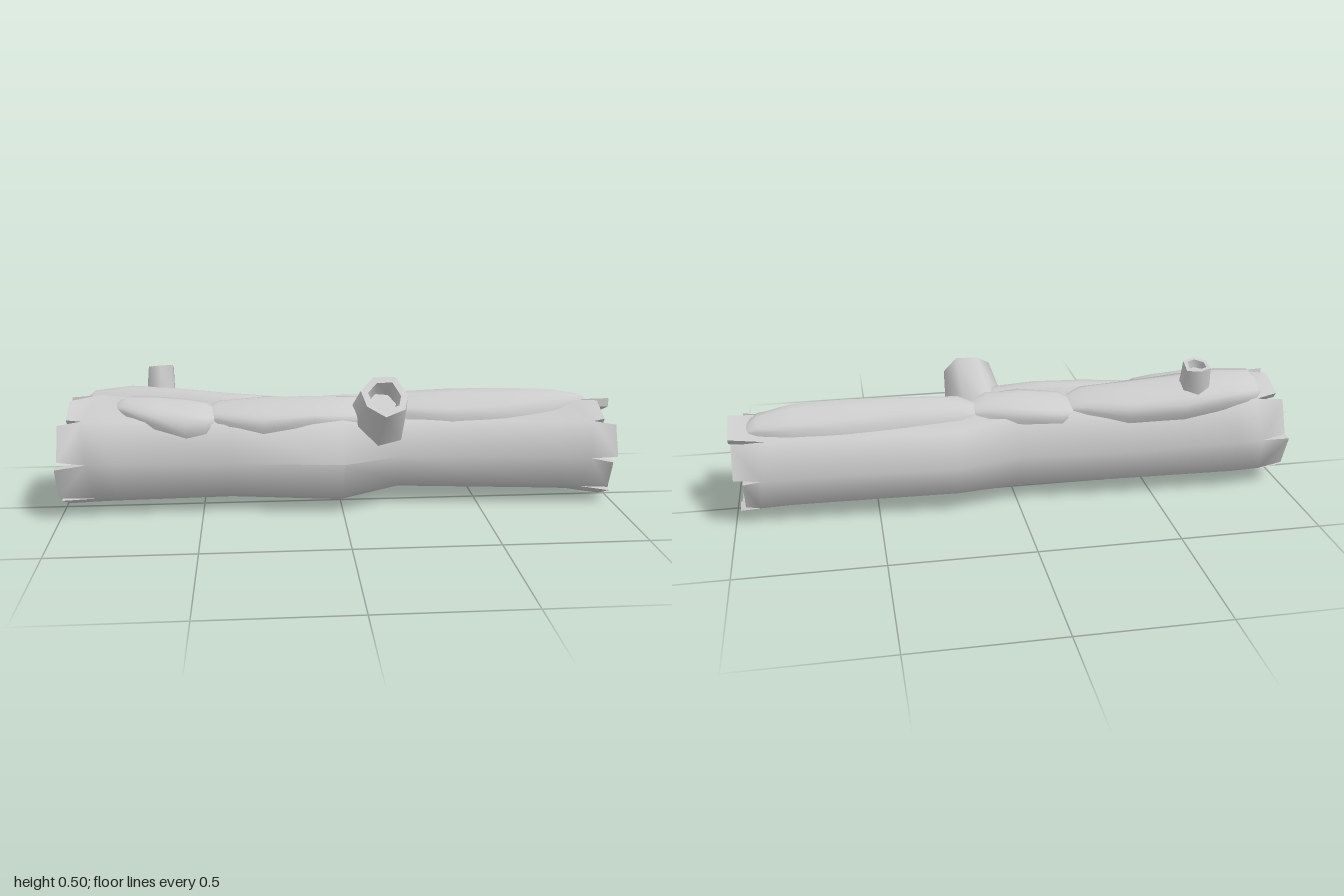
import * as THREE from 'three';
import { toCreasedNormals } from 'three/addons/utils/BufferGeometryUtils.js';

const material = new THREE.MeshStandardMaterial({ color: 0xcccccc });
const SIDES = 8, STEP = 45, WALL = 0.032;

// Log stations: x, centre y, centre z, corner radius
const stations = [
  [-1, 0.215, 0, 0.2], [-0.85, 0.214, -0.02, 0.2], [-0.4, 0.2, -0.02, 0.18],
  [0, 0.2, 0.016, 0.19], [0.22, 0.198, -0.06, 0.166],
  [0.85, 0.192, -0.02, 0.172], [1, 0.187, 0, 0.187],
];

// Point on the eight-sided log; angle in degrees from the top towards the front
function onLog(x, deg, offset = 0) {
  let i = 0;
  while (i < stations.length - 2 && x > stations[i + 1][0]) i++;
  const a = stations[i], b = stations[i + 1], t = (x - a[0]) / (b[0] - a[0]);
  const [y, z, r] = [1, 2, 3].map((k) => a[k] + (b[k] - a[k]) * t);
  const turn = ((deg % STEP) + STEP) % STEP - STEP / 2;
  const flat = Math.cos(Math.PI / 8) / Math.cos(THREE.MathUtils.degToRad(turn));
  const R = (r + offset) * flat, rad = THREE.MathUtils.degToRad(deg);
  return new THREE.Vector3(x, y + R * Math.cos(rad), z + R * Math.sin(rad));
}

function mesh(name, geometry) {
  const m = new THREE.Mesh(geometry, material);
  m.name = name;
  return m;
}

function createLog() {
  const pos = [];
  const tri = (...p) => p.forEach((v) => pos.push(v.x, v.y, v.z));
  const quad = (a, b, c, d, flip) => {
    if (flip) [b, d] = [d, b];
    tri(a, b, c);
    tri(a, c, d);
  };
  const base = (s, k) => s * (0.86 + 0.05 * ((k * 3) % 4) / 3);

  // Outer bark between the notch roots
  const rings = [(k) => base(-1, k), () => -0.8, () => -0.4, () => 0, () => 0.22, () => 0.8, (k) => base(1, k)];
  for (let j = 0; j < rings.length - 1; j++) {
    for (let k = 0; k < SIDES; k++) {
      const n = (k + 1) % SIDES;
      quad(onLog(rings[j](k), k * STEP), onLog(rings[j](n), n * STEP),
        onLog(rings[j + 1](n), n * STEP), onLog(rings[j + 1](k), k * STEP));
    }
  }

  // Split, hollow ends: tip x of each stave and half-width of each corner notch
  const ends = [
    { s: 1, tips: [0.95, 0.985, 0.97, 0.98, 0.98, 0.96, 0.99, 1], gaps: [4, 4, 3.5, 4, 0, 5, 3, 3] },
    { s: -1, tips: [0.96, 0.99, 1, 0.99, 0.99, 1, 0.98, 0.96], gaps: [8, 3, 4, 3, 0, 4, 3, 4] },
  ];
  for (const { s, tips, gaps } of ends) {
    const flip = s < 0, capX = s * 0.52;
    const cap = (k) => onLog(capX, k * STEP, -0.08);
    const centre = new THREE.Vector3();
    for (let k = 0; k < SIDES; k++) centre.addScaledVector(cap(k), 1 / SIDES);
    for (let k = 0; k < SIDES; k++) {
      const n = (k + 1) % SIDES, a = k * STEP, b = a + STEP, tip = s * tips[k];
      const a2 = a + gaps[k], b2 = b - gaps[n] - 1e-4;
      const oa = onLog(base(s, k), a), ob = onLog(base(s, n), b);
      const ia = onLog(base(s, k), a, -WALL), ib = onLog(base(s, n), b, -WALL);
      const ota = onLog(tip, a2), otb = onLog(tip, b2);
      const ita = onLog(tip, a2, -WALL), itb = onLog(tip, b2, -WALL);
      quad(oa, ob, otb, ota, flip);
      quad(ia, ita, itb, ib, flip);
      quad(ota, otb, itb, ita, flip);
      if (gaps[k]) quad(oa, ota, ita, ia, flip);
      if (gaps[n]) quad(ob, ib, itb, otb, flip);
      // Tapering cavity and its floor
      quad(cap(k), ia, ib, cap(n), flip);
      if (flip) tri(centre, cap(n), cap(k));
      else tri(centre, cap(k), cap(n));
    }
  }
  const g = new THREE.BufferGeometry();
  g.setAttribute('position', new THREE.Float32BufferAttribute(pos, 3));
  return mesh('hollowLog', toCreasedNormals(g, 0.9));
}

// Moss cushion lying on the log; rows are x, back angle, front angle, thickness
function createMoss(name, rows) {
  const pos = [], index = [], N = 10;
  rows.forEach(([x, a0, a1, t], r) => {
    for (let i = 0; i <= N; i++) {
      const u = (i / N) * 2 - 1;
      const p = onLog(x, a0 + (a1 - a0) * i / N, -0.01 + (t + 0.01) * Math.sqrt(1 - u * u));
      pos.push(p.x, p.y, p.z);
      if (r && i) {
        const d = r * (N + 1) + i, c = d - 1, b = d - N - 1, a = b - 1;
        index.push(a, b, d, a, d, c);
      }
    }
  });
  const g = new THREE.BufferGeometry();
  g.setAttribute('position', new THREE.Float32BufferAttribute(pos, 3));
  g.setIndex(index);
  g.computeVertexNormals();
  return mesh(name, g);
}

// Broken branch stub with a shallow hollow and an uneven rim
function createStub(name, from, to, rBase, rTip, depth, sides) {
  const a = new THREE.Vector3(...from), dir = new THREE.Vector3(...to).sub(a);
  const h = dir.length();
  const profile = [[rBase, -0.04], [rTip, h], [rTip * 0.7, h], [rTip * 0.6, h - depth], [0, h - depth]];
  const g = new THREE.LatheGeometry(profile.map((p) => new THREE.Vector2(...p)), sides);
  const p = g.attributes.position;
  for (let i = 0; i < p.count; i++) {
    const k = Math.floor(i / profile.length) % sides;
    if (p.getY(i) > h - 0.001) p.setY(i, h + rTip * 0.12 * Math.sin(k * 2.4));
  }
  const m = mesh(name, toCreasedNormals(g, 1.1));
  m.position.copy(a);
  m.quaternion.setFromUnitVectors(new THREE.Vector3(0, 1, 0), dir.normalize());
  return m;
}

export function createModel() {
  const group = new THREE.Group();
  group.name = 'fallenLog';
  group.add(createLog());

  group.add(createMoss('mossBackLeftEnd', [
    [-0.92, -32, -8, -0.01], [-0.88, -46, 2, 0.03], [-0.75, -54, 4, 0.055], [-0.6, -60, 5, 0.055],
    [-0.4, -58, 8, 0.045], [-0.25, -48, 2, 0.03], [-0.16, -34, -15, -0.01]]));
  group.add(createMoss('mossFrontLeftEnd', [
    [-0.81, 10, 18, -0.01], [-0.76, 2, 38, 0.025], [-0.66, 0, 54, 0.035], [-0.55, 0, 64, 0.035],
    [-0.48, 4, 58, 0.03], [-0.42, 18, 32, -0.01]]));
  group.add(createMoss('mossFrontMiddle', [
    [-0.5, 14, 28, -0.01], [-0.44, 0, 46, 0.025], [-0.28, -8, 58, 0.035], [-0.1, -8, 48, 0.03],
    [0.06, -6, 48, 0.03], [0.2, 15, 50, -0.01]]));
  group.add(createMoss('mossBackMiddle', [
    [-0.23, -40, -16, -0.01], [-0.16, -56, -4, 0.025], [-0.02, -56, 0, 0.03],
    [0.1, -40, 8, 0.03], [0.2, -12, 10, -0.01]]));
  group.add(createMoss('mossRightEnd', [
    [0.1, -26, 0, -0.01], [0.2, -30, 40, 0.035], [0.4, -36, 50, 0.046], [0.6, -42, 42, 0.046],
    [0.78, -42, 26, 0.042], [0.9, -38, 0, 0.03], [0.95, -32, -16, -0.01]]));

  group.add(createStub('largeBranchStub', [0.13, 0.32, 0.05], [0.145, 0.432, 0.155], 0.115, 0.087, 0.06, 7));
  group.add(createStub('smallBranchStub', [-0.65, 0.4, -0.11], [-0.648, 0.492, -0.133], 0.058, 0.05, 0.03, 6));
  return group;
}
